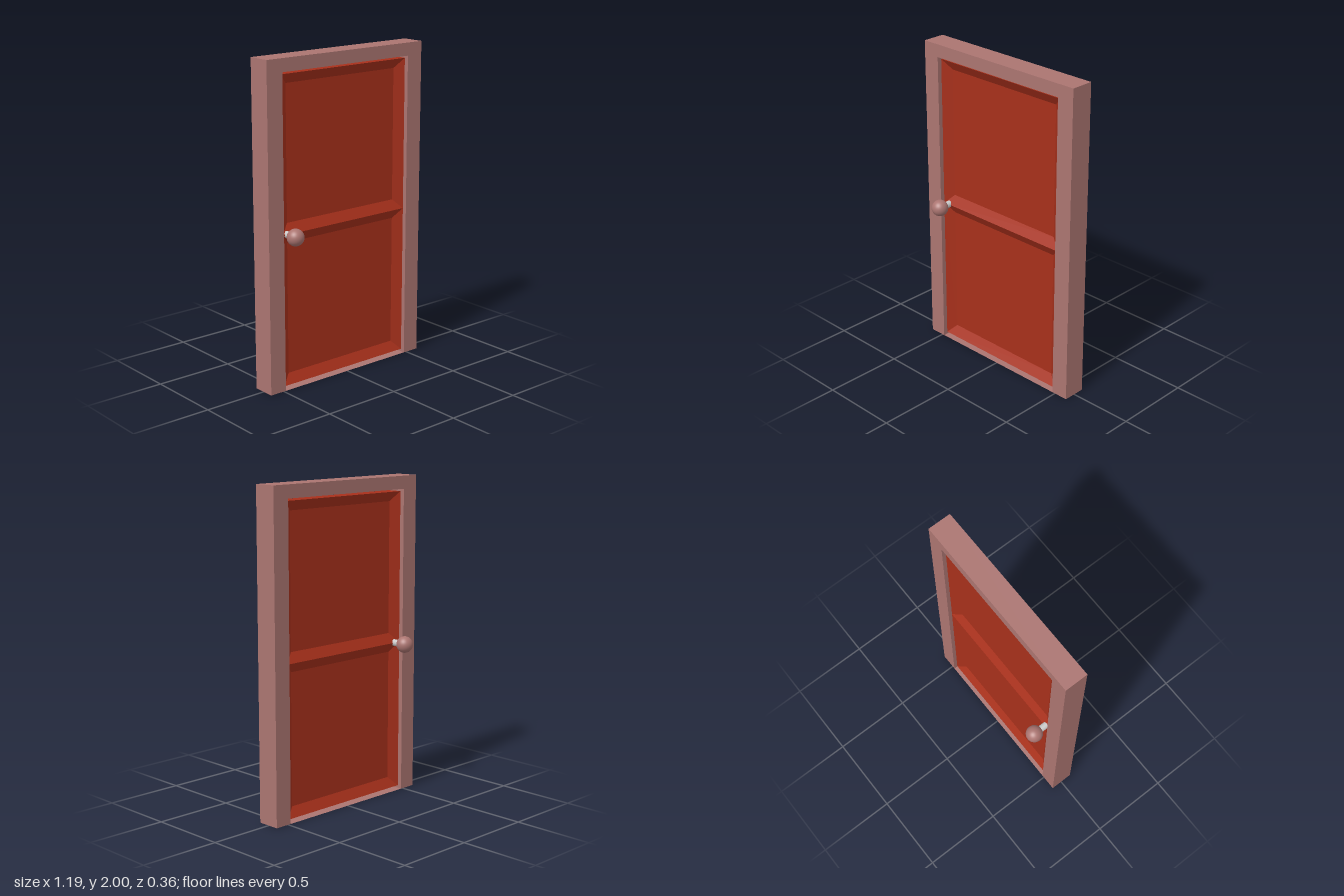
import * as THREE from 'three';

const frameMat = new THREE.MeshStandardMaterial({ color: 0xab7571 });
const doorMat = new THREE.MeshStandardMaterial({ color: 0xa8301b });
const stemMat = new THREE.MeshStandardMaterial({ color: 0xcccccc });
const sillMat = new THREE.MeshStandardMaterial({ color: 0xab7571, side: THREE.DoubleSide });

function add(parent, name, geometry, material, x = 0, y = 0, z = 0) {
  const mesh = new THREE.Mesh(geometry, material);
  mesh.name = name;
  mesh.position.set(x, y, z);
  parent.add(mesh);
  return mesh;
}

// Flat-shaded geometry from quads, corners counter-clockwise seen from outside
function quadGeometry(quads) {
  const pos = [];
  for (const [a, b, c, d] of quads) pos.push(...a, ...b, ...c, ...a, ...c, ...d);
  const g = new THREE.BufferGeometry();
  g.setAttribute('position', new THREE.Float32BufferAttribute(pos, 3));
  g.computeVertexNormals();
  return g;
}

// Rectangle corners, counter-clockwise from +z
const rect = (x0, x1, y0, y1, z) => [[x0, y0, z], [x1, y0, z], [x1, y1, z], [x0, y1, z]];

// Quads that join two rings of four corners
const joinRings = (a, b) => a.map((p, i) => {
  const j = (i + 1) % 4;
  return [p, a[j], b[j], b[i]];
});

export function createModel() {
  const model = new THREE.Group();
  model.name = 'door';

  // Door frame: an upside-down U with a thin floor sheet closing the bottom
  const zBack = -0.071, zFront = 0.075;
  const outline = [[-0.595, 0], [-0.485, 0], [-0.485, 1.92], [0.48, 1.92],
    [0.48, 0], [0.591, 0], [0.591, 2], [-0.595, 2]];
  const shape = new THREE.Shape(outline.map(([x, y]) => new THREE.Vector2(x, y)));
  const frame = new THREE.ExtrudeGeometry(shape, { depth: zFront - zBack, bevelEnabled: false });
  add(model, 'doorFrame', frame, frameMat, 0, 0, zBack);
  const sill = new THREE.PlaneGeometry(0.965, zFront - zBack).rotateX(-Math.PI / 2);
  add(model, 'sill', sill, sillMat, -0.0025, 0, (zFront + zBack) / 2);

  // Door leaf: two sunken panels on each face, meeting at sharp ridges
  const x0 = -0.478, x1 = 0.475, yBottom = 0.02, yMid = 0.96, yTop = 1.905;
  const faceFront = 0.053, faceBack = -0.049, inset = 0.06, recess = 0.036;
  const quads = joinRings(rect(x0, x1, yBottom, yTop, faceBack), rect(x0, x1, yBottom, yTop, faceFront));
  for (const [y0, y1] of [[yBottom, yMid], [yMid, yTop]]) {
    for (const [z, side] of [[faceFront, 1], [faceBack, -1]]) {
      const rim = rect(x0, x1, y0, y1, z);
      const floor = rect(x0 + inset, x1 - inset, y0 + inset, y1 - inset, z - side * recess);
      const panel = [...joinRings(rim, floor), floor];
      quads.push(...(side > 0 ? panel : panel.map(q => [...q].reverse())));
    }
  }
  add(model, 'doorLeaf', quadGeometry(quads), doorMat);

  // Knob on each face with one spindle through the leaf
  const knobX = -0.441;
  const spindle = new THREE.CylinderGeometry(0.021, 0.021, 0.24, 24).rotateX(Math.PI / 2);
  add(model, 'spindle', spindle, stemMat, knobX, yMid, -0.003);
  const knob = new THREE.SphereGeometry(0.052, 32, 20);
  add(model, 'frontKnob', knob, frameMat, knobX, yMid, 0.126);
  add(model, 'backKnob', knob, frameMat, knobX, yMid, -0.13);

  return model;
}
